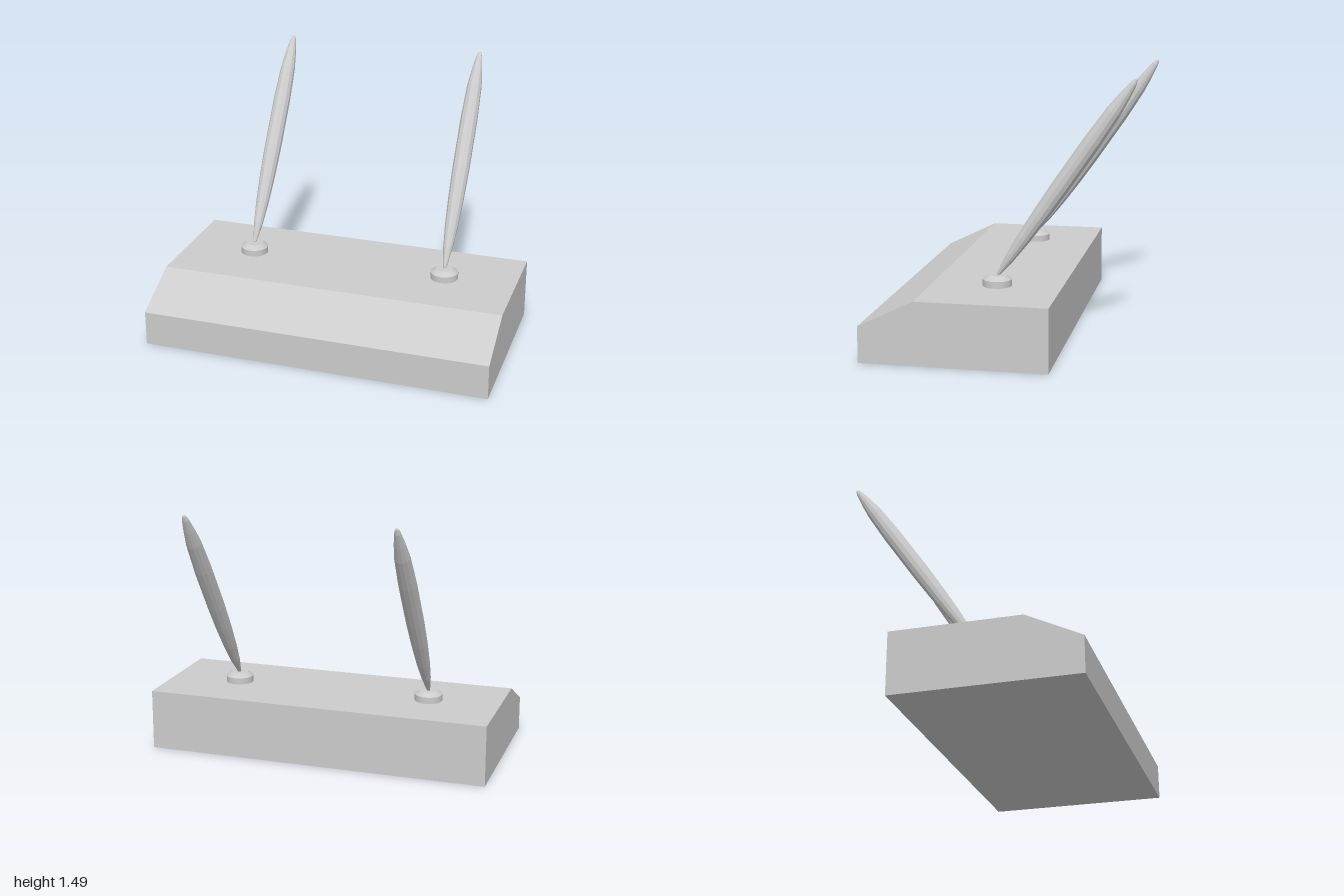
import * as THREE from 'three';

const material = new THREE.MeshStandardMaterial({ color: 0xcccccc });
const flatMaterial = new THREE.MeshStandardMaterial({ color: 0xcccccc, flatShading: true });

function makeMesh(name, geometry, mat = material) {
  const mesh = new THREE.Mesh(geometry, mat);
  mesh.name = name;
  return mesh;
}

// Block with a sloped front edge: side profile as (z, y), extruded along x
function makeBase() {
  const profile = [[-0.315, 0], [0.705, 0], [0.705, 0.2], [0.4, 0.35], [-0.315, 0.35]];
  const shape = new THREE.Shape(profile.map(([z, y]) => new THREE.Vector2(z, y)));
  const geometry = new THREE.ExtrudeGeometry(shape, { depth: 2, bevelEnabled: false });
  geometry.translate(0, 0, -1).rotateY(-Math.PI / 2);
  return makeMesh('base', geometry, flatMaterial);
}

// Round socket with a bevelled top
function makeSocket() {
  const socket = new THREE.Group();
  socket.name = 'socket';
  const ring = makeMesh('socketRing', new THREE.CylinderGeometry(0.08, 0.08, 0.037, 24));
  ring.position.y = 0.0185;
  const bevel = makeMesh('socketBevel', new THREE.CylinderGeometry(0.05, 0.08, 0.023, 24));
  bevel.position.y = 0.0485;
  socket.add(ring, bevel);
  return socket;
}

// Faceted pen, tapered to both ends: profile as (radius, distance from the tip)
function makePen() {
  const profile = [
    [0, 0], [0.009, 0.005], [0.027, 0.12], [0.038, 0.25], [0.046, 0.42], [0.05, 0.6],
    [0.05, 0.9], [0.043, 1.1], [0.031, 1.2], [0.018, 1.28], [0.009, 1.307], [0, 1.316],
  ].map(([r, y]) => new THREE.Vector2(r, y));
  const pen = makeMesh('pen', new THREE.LatheGeometry(profile, 12, Math.PI / 12), flatMaterial);
  pen.position.y = 0.055;
  pen.rotation.x = -Math.atan2(0.745, 1.085); // leans backwards
  return pen;
}

export function createModel() {
  const model = new THREE.Group();
  model.name = 'deskPenStand';
  model.add(makeBase());

  // One socket and pen on each side
  for (const [name, side] of [['leftPenHolder', 1], ['rightPenHolder', -1]]) {
    const holder = new THREE.Group();
    holder.name = name;
    holder.add(makeSocket(), makePen());
    holder.position.set(side * 0.585, 0.35, 0.04);
    model.add(holder);
  }
  return model;
}
